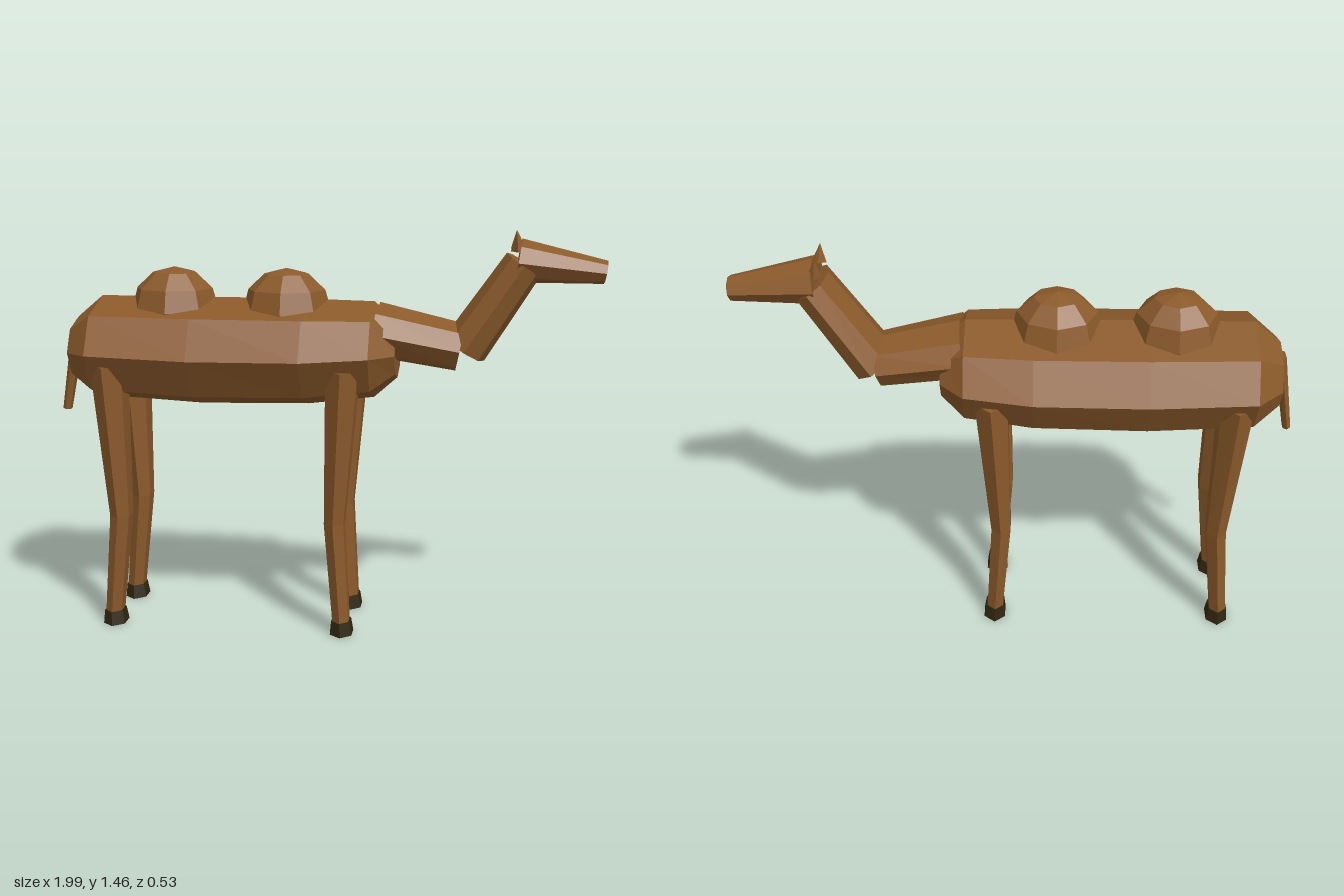
import * as THREE from 'three';

const fur = new THREE.MeshStandardMaterial({ color: 0x8b5a2b, flatShading: true });
fur.name = 'brownFur';
const horn = new THREE.MeshStandardMaterial({ color: 0x30250f, flatShading: true });
horn.name = 'darkHoof';

// Closed faceted tube. Rings are [x, y, z, radius, zRadius]; tilt is the path's angle in the xy plane.
function loft(name, material, sides, phase, tilt, rings) {
  const pos = [], index = [];
  for (const [x, y, z, r, rz] of rings) {
    for (let k = 0; k < sides; k++) {
      const a = phase + (k / sides) * Math.PI * 2;
      pos.push(x - Math.sin(tilt) * r * Math.cos(a), y + Math.cos(tilt) * r * Math.cos(a), z + rz * Math.sin(a));
    }
  }
  const last = (rings.length - 1) * sides;
  for (let i = 0; i < last; i += sides) {
    for (let k = 0; k < sides; k++) {
      const n = (k + 1) % sides;
      index.push(i + k, i + n, i + sides + n, i + k, i + sides + n, i + sides + k);
    }
  }
  // End caps
  for (let k = 1; k < sides - 1; k++) {
    index.push(0, k + 1, k, last, last + k, last + k + 1);
  }
  const geo = new THREE.BufferGeometry();
  geo.setAttribute('position', new THREE.Float32BufferAttribute(pos, 3));
  geo.setIndex(index);
  const flat = geo.toNonIndexed();
  flat.computeVertexNormals();
  const mesh = new THREE.Mesh(flat, material);
  mesh.name = name;
  return mesh;
}

export function createModel() {
  const group = new THREE.Group();
  group.name = 'camel';

  // Barrel body, rump to chest
  group.add(loft('body', fur, 8, 0, 0, [
    [-0.925, 1.02, 0, 0.115, 0.15],
    [-0.83, 1.027, 0, 0.188, 0.252],
    [-0.46, 1.018, 0, 0.198, 0.267],
    [-0.06, 1.022, 0, 0.193, 0.267],
    [0.18, 1.035, 0, 0.175, 0.24],
    [0.265, 1.035, 0, 0.1, 0.15],
  ]));

  // Neck and head
  group.add(loft('lowerNeck', fur, 8, 0, -0.2, [
    [0.18, 1.11, 0, 0.1, 0.16],
    [0.49, 1.05, 0, 0.087, 0.125],
  ]));
  group.add(loft('upperNeck', fur, 8, 0, 1.0, [
    [0.505, 1.048, 0, 0.083, 0.125],
    [0.705, 1.35, 0, 0.072, 0.112],
  ]));
  group.add(loft('head', fur, 8, 0, -0.15, [
    [0.685, 1.362, 0, 0.078, 0.113],
    [0.988, 1.325, 0, 0.041, 0.058],
  ]));

  // Two humps
  for (const x of [-0.555, -0.14]) {
    const hump = new THREE.Mesh(new THREE.SphereGeometry(1, 8, 6), fur);
    hump.name = 'hump';
    hump.scale.set(0.163, 0.155, 0.157);
    hump.position.set(x, 1.17, 0);
    group.add(hump);
  }

  // Ears, legs and hooves on both sides
  for (const s of [1, -1]) {
    const ear = new THREE.Mesh(new THREE.ConeGeometry(0.026, 0.065, 4), fur);
    ear.name = 'ear';
    ear.position.set(0.68, 1.433, s * 0.062);
    ear.rotation.set(s * 0.2, 0, 0.1);
    group.add(ear);

    for (const [part, hip, knee, foot] of [['front', 0.085, 0.055, 0.08], ['back', -0.768, -0.742, -0.778]]) {
      group.add(loft(part + 'Leg', fur, 6, Math.PI / 6, -Math.PI / 2, [
        [hip, 0.985, s * 0.15, 0.066, 0.1],
        [knee, 0.42, s * 0.145, 0.041, 0.06],
        [foot, 0.045, s * 0.147, 0.034, 0.05],
      ]));
      group.add(loft(part + 'Hoof', horn, 6, Math.PI / 6, -Math.PI / 2, [
        [foot, 0.05, s * 0.147, 0.039, 0.054],
        [foot + 0.002, 0, s * 0.147, 0.046, 0.064],
      ]));
    }
  }

  // Hanging tail
  group.add(loft('tail', fur, 6, Math.PI / 6, -1.76, [
    [-0.93, 1.08, 0, 0.022, 0.045],
    [-0.983, 0.785, 0, 0.016, 0.025],
  ]));

  return group;
}
